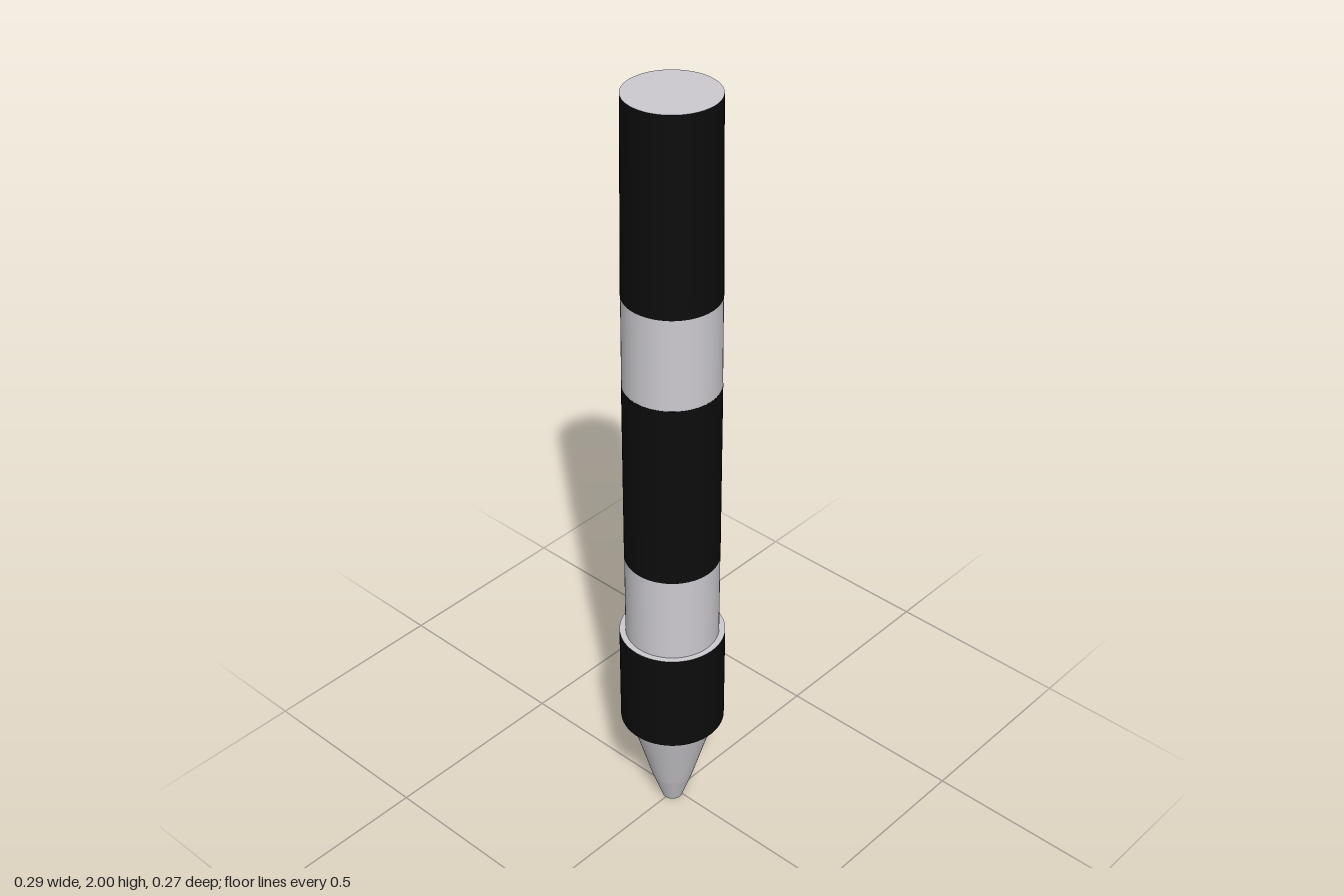
import * as THREE from 'three';

const mat = (color) => new THREE.MeshStandardMaterial({ color });
const silver = mat(0xcccacf);
const black = mat(0x0c0c0c);
const slate = mat(0x5c6e75);

const SEG = 64;
const BODY_R = 0.116;
const PANEL_SHIFT = 0.039;
const PANEL_HALF = 0.96; // half angle of the panel's curved face

function add(parent, name, geometry, material, x = 0, y = 0, z = 0) {
  const mesh = new THREE.Mesh(geometry, material);
  mesh.name = name;
  mesh.position.set(x, y, z);
  parent.add(mesh);
  return mesh;
}

// Tapered round section between two heights; sides and ends may differ in colour
function section(parent, name, y0, y1, r0, r1, side, ends = side) {
  const geo = new THREE.CylinderGeometry(r1, r0, y1 - y0, SEG);
  return add(parent, name, geo, [side, ends, ends], 0, (y0 + y1) / 2);
}

// Saddle block: the barrel's arc pushed outward, with parallel sides
function saddle(height) {
  const shape = new THREE.Shape();
  shape.absarc(PANEL_SHIFT, 0, BODY_R, -PANEL_HALF, PANEL_HALF, false);
  shape.absarc(0, 0, BODY_R - 0.001, PANEL_HALF, -PANEL_HALF, true);
  shape.closePath();
  const geo = new THREE.ExtrudeGeometry(shape, { depth: height, bevelEnabled: false, curveSegments: 24 });
  return geo.rotateX(-Math.PI / 2);
}

export function createModel() {
  const model = new THREE.Group();
  model.name = 'pen';
  const pen = new THREE.Group();
  pen.name = 'barrelAssembly';
  pen.position.x = -0.012;
  model.add(pen);

  // Tip and barrel, bottom to top
  section(pen, 'tip', 0, 0.08, 0.026, 0.053, silver);
  section(pen, 'nose', 0.08, 0.285, 0.053, 0.111, silver);
  section(pen, 'gripRing', 0.285, 0.56, 0.131, 0.131, black, silver);
  section(pen, 'lowerBarrel', 0.56, 0.79, BODY_R, BODY_R, silver);
  section(pen, 'middleBand', 0.79, 1.28, 0.1165, 0.1165, black);
  section(pen, 'upperBarrel', 1.28, 1.515, BODY_R, 0.115, silver);
  section(pen, 'cap', 1.515, 2, 0.1155, 0.11, black, silver);

  // Control panel, turned toward the back left
  const panel = new THREE.Group();
  panel.name = 'controlPanel';
  panel.rotation.y = THREE.MathUtils.degToRad(31);
  pen.add(panel);
  add(panel, 'panelBlock', saddle(0.488), black, 0, 0.792);
  add(panel, 'panelBase', saddle(0.002), slate, 0, 0.79);
  const cover = new THREE.CylinderGeometry(
    BODY_R + 0.0006, BODY_R + 0.0006, 0.49, 32, 1, true, Math.PI / 2 - PANEL_HALF, PANEL_HALF * 2);
  add(panel, 'panelCover', cover, slate, PANEL_SHIFT, 1.035);

  // Long plate with a dark face
  add(panel, 'facePlate', new THREE.BoxGeometry(0.02, 0.325, 0.085),
    [black, slate, slate, slate, slate, slate], 0.1475, 0.965);

  // Round button with a dark face
  const button = new THREE.CylinderGeometry(0.021, 0.021, 0.025, 32).rotateZ(-Math.PI / 2);
  add(panel, 'button', button, [slate, black, slate], 0.1525, 1.19);

  return model;
}
